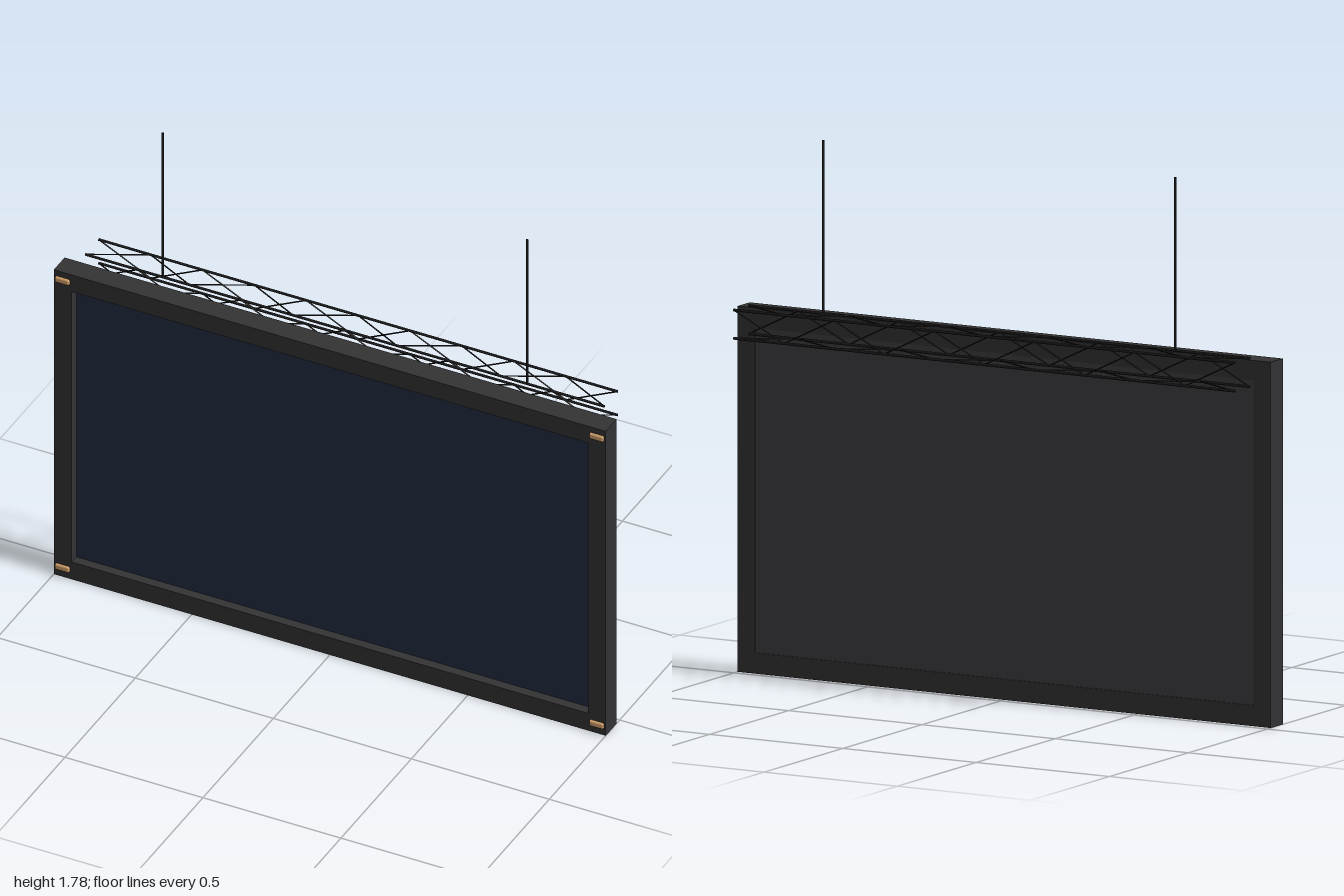
import * as THREE from 'three';
import { RoundedBoxGeometry } from 'three/addons/geometries/RoundedBoxGeometry.js';

const material = (color) => new THREE.MeshStandardMaterial({ color });

export function createModel() {
  const model = new THREE.Group();
  const frameMat = material(0x333335);
  const screenMat = material(0x222c42);
  const backMat = material(0x3e3e41);
  const steelMat = material(0x1a1a1c);
  const copperMat = material(0xd2a06a);

  const add = (name, geometry, mat, parent = model) => {
    const mesh = new THREE.Mesh(geometry, mat);
    mesh.name = name;
    parent.add(mesh);
    return mesh;
  };

  // Round bar between two points
  const bar = (name, a, b, radius, sides, parent) => {
    const dir = b.clone().sub(a);
    const mesh = add(name, new THREE.CylinderGeometry(radius, radius, dir.length(), sides), steelMat, parent);
    mesh.position.copy(a).add(b).multiplyScalar(0.5);
    mesh.quaternion.setFromUnitVectors(new THREE.Vector3(0, 1, 0), dir.normalize());
    return mesh;
  };

  // Rectangular frame with a window
  const outline = new THREE.Shape([[-1, 0], [1, 0], [1, 1.2], [-1, 1.2]].map(([x, y]) => new THREE.Vector2(x, y)));
  outline.holes.push(new THREE.Path(
    [[-0.935, 0.068], [-0.935, 1.134], [0.935, 1.134], [0.935, 0.068]].map(([x, y]) => new THREE.Vector2(x, y))));
  const frame = add('frame', new THREE.ExtrudeGeometry(outline, { depth: 0.077, bevelEnabled: false }), frameMat);
  frame.position.z = 0.022;

  // Recessed screen and nearly flush back panel
  add('screen', new THREE.BoxGeometry(1.87, 1.066, 0.01), screenMat).position.set(0, 0.601, 0.061);
  add('backPanel', new THREE.BoxGeometry(1.87, 1.066, 0.03), backMat).position.set(0, 0.601, 0.041);

  // Copper corner clips
  for (const x of [-0.968, 0.968]) {
    for (const y of [0.036, 1.168]) {
      add('cornerClip', new RoundedBoxGeometry(0.052, 0.022, 0.016, 3, 0.006), copperMat).position.set(x, y, 0.099);
    }
  }

  // Box truss: four chords, each side laced with a zigzag
  const truss = new THREE.Group();
  truss.name = 'truss';
  model.add(truss);
  const half = 0.94, bays = 10;
  const corners = [[1.212, -0.009], [1.212, -0.103], [1.119, -0.103], [1.119, -0.009]];
  const at = (corner, x) => new THREE.Vector3(x, corners[corner % 4][0], corners[corner % 4][1]);
  for (let c = 0; c < 4; c++) {
    bar('chord', at(c, -half), at(c, half), 0.0045, 10, truss);
    for (let i = 0; i < bays; i++) {
      const x0 = -half + (2 * half * i) / bays;
      const x1 = -half + (2 * half * (i + 1)) / bays;
      const flip = i % 2;
      bar('brace', at(c + flip, x0), at(c + 1 - flip, x1), 0.0024, 6, truss);
    }
  }

  // Suspension rods rising from the front top chord
  for (const x of [-0.66, 0.66]) {
    bar('suspensionRod', new THREE.Vector3(x, 1.21, -0.009), new THREE.Vector3(x, 1.78, -0.009), 0.004, 10, model);
  }

  return model;
}
